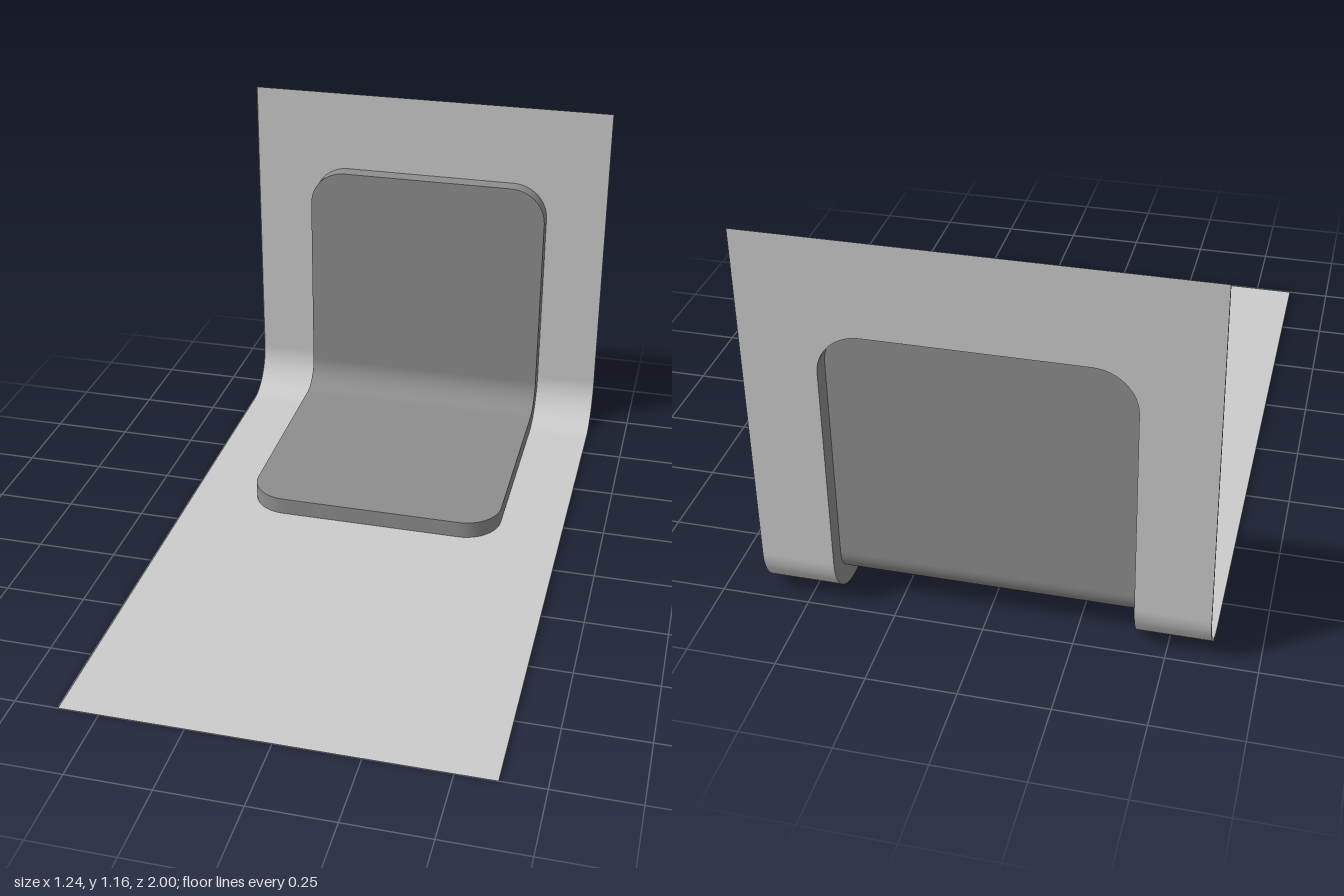
import * as THREE from 'three';

const HALF = 0.62;              // half width of the sheet
const R = 0.15;                 // bend radius
const FLAT = 1.85;              // length of the floor part before the bend
const BEND = R * Math.PI / 2;
const END = FLAT + BEND + 1.16 - R;
const PAD = { half: 0.415, corner: 0.12, start: 1.115, end: FLAT + BEND + 0.887 - R, depth: 0.055 };
const RIM = 0.008;

// Point on the bent sheet: x across, s along the L-shaped path, d raised towards the inside
function bent(x, s, d = 0) {
  if (s <= FLAT) return [x, d, 1 - s];
  if (s >= FLAT + BEND) return [x, R + s - FLAT - BEND, -1 + d];
  const a = (s - FLAT) / R;
  return [x, R - (R - d) * Math.cos(a), 1 - FLAT - (R - d) * Math.sin(a)];
}

// Surface through equally long rows of points
function loft(rows) {
  const n = rows[0].length, index = [];
  for (let i = 0; i < rows.length - 1; i++) {
    for (let j = 0; j < n - 1; j++) {
      const a = i * n + j, b = a + 1, c = a + n, d = c + 1;
      index.push(a, b, d, a, d, c);
    }
  }
  const g = new THREE.BufferGeometry();
  g.setAttribute('position', new THREE.Float32BufferAttribute(rows.flat(2), 3));
  g.setIndex(index);
  g.computeVertexNormals();
  return g;
}

// Stations along the path between two lengths, dense in the bend
function stations(from, to) {
  const list = [from];
  for (let i = 0; i <= 16; i++) {
    const s = FLAT + BEND * i / 16;
    if (s > from && s < to) list.push(s);
  }
  return [...list, to];
}

// One side of the pad outline as [half width, s], with rounded corners at both ends
function padSide() {
  const { half, corner: c, start, end } = PAD, pts = [];
  for (let i = 0; i <= 12; i++) {
    const a = Math.PI / 2 * i / 12;
    pts.push([half - c + c * Math.sin(a), start + c - c * Math.cos(a)]);
  }
  const tail = pts.map(([x, s]) => [x, start + end - s]).reverse();
  const middle = stations(start + c, end - c).slice(1, -1).map((s) => [half, s]);
  return [...pts, ...middle, ...tail];
}

export function createModel() {
  const model = new THREE.Group();
  const sheetMat = new THREE.MeshStandardMaterial({ color: 0xcccccc, side: THREE.DoubleSide });
  const padMat = new THREE.MeshStandardMaterial({ color: 0x8d8d8d, side: THREE.DoubleSide });
  const add = (parent, name, rows, mat) => {
    const mesh = new THREE.Mesh(loft(rows), mat);
    mesh.name = name;
    parent.add(mesh);
  };
  const side = padSide();

  // Thin bent sheet with an opening under the pad
  const sheet = new THREE.Group();
  sheet.name = 'bentSheet';
  model.add(sheet);
  const panel = (from, to) => [from, to].map((s) => [bent(-HALF, s), bent(HALF, s)]);
  add(sheet, 'floorPanel', panel(0, PAD.start), sheetMat);
  add(sheet, 'upperPanel', panel(PAD.end, END), sheetMat);
  // centre slivers are covered by the pad; the sides follow its outline
  add(sheet, 'leftBorder', side.map(([x, s]) => [bent(x, s), bent(HALF, s)]), sheetMat);
  add(sheet, 'rightBorder', side.map(([x, s]) => [bent(-HALF, s), bent(-x, s)]), sheetMat);
  for (const [name, x] of [['leftRim', HALF], ['rightRim', -HALF]]) {
    const rows = stations(0, END).map((s) => [bent(x, s, RIM), bent(x, s)]);
    add(sheet, name, x > 0 ? rows.reverse() : rows, sheetMat);
  }

  // Raised pad, hollow from behind: face plus the wall around it
  const pad = new THREE.Group();
  pad.name = 'raisedPad';
  model.add(pad);
  add(pad, 'padFace', side.map(([x, s]) => [bent(-x, s, PAD.depth), bent(x, s, PAD.depth)]), padMat);
  const loop = [...side, ...side.map(([x, s]) => [-x, s]).reverse(), side[0]];
  add(pad, 'padWall', loop.map(([x, s]) => [bent(x, s, PAD.depth), bent(x, s)]), padMat);

  return model;
}
